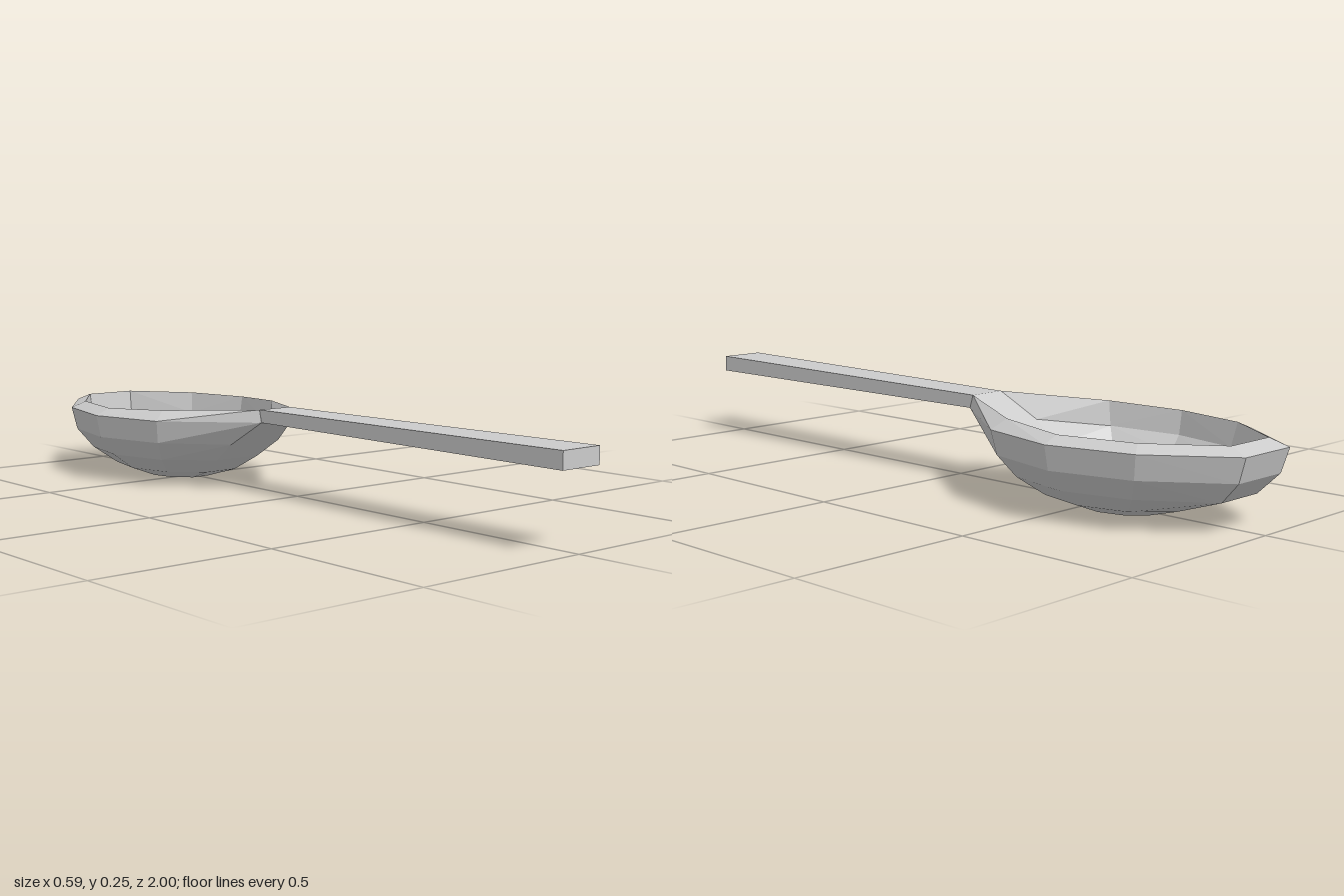
import * as THREE from 'three';

const grey = () => new THREE.MeshStandardMaterial({ color: 0xcccccc, flatShading: true });
const SIDES = 10, CENTRE_Z = -0.57;

// Ten-sided oval ring; its tip and neck ends can be pulled out of the oval
function ring({ y, rx, rz, tip, tipY = y, neck, neckX, neckY = y, shoulderY = y }) {
  return Array.from({ length: SIDES }, (_, k) => {
    const a = (k / SIDES) * Math.PI * 2;
    const p = new THREE.Vector3(rx * Math.cos(a), y, CENTRE_Z + rz * Math.sin(a));
    const s = Math.sin(a);
    if (s > 0.9) {
      p.y = neckY;
      p.z = neck ?? p.z;
      if (neckX) p.x = Math.sign(p.x) * neckX;
    } else if (s > 0.5) p.y = shoulderY;
    else if (s < -0.9) {
      p.y = tipY;
      p.z = tip ?? p.z;
    }
    return p;
  });
}

// Two triangles for a quad, split along the diagonal that bulges outwards
function quad(a, b, c, d) {
  const normal = c.clone().sub(b).cross(d.clone().sub(a));
  const bulge = b.clone().add(c).sub(a).sub(d).dot(normal);
  return bulge > 0 ? [a, c, b, b, c, d] : [a, c, d, a, d, b];
}

// Skin from the outer bottom, up over the rim and down to the inner floor,
// with the inside set in by an even wall thickness
function makeBowl() {
  const rings = [
    { y: 0, rx: 0.091, rz: 0.12 },
    { y: 0.03, rx: 0.171, rz: 0.226 },
    { y: 0.077, rx: 0.237, rz: 0.312, tip: -0.925 },
    { y: 0.133, rx: 0.281, rz: 0.37, tip: -0.98, neck: -0.19 },
    { y: 0.198, rx: 0.295, rz: 0.39, tip: -1, neck: -0.09, neckX: 0.056, neckY: 0.203 },
    { y: 0.217, rx: 0.25, rz: 0.352, tip: -0.95, neck: -0.1, neckX: 0.055, neckY: 0.239, shoulderY: 0.225 },
    { y: 0.152, rx: 0.24, rz: 0.33, tip: -0.94, tipY: 0.156, neck: -0.216, neckY: 0.171, shoulderY: 0.158 },
    { y: 0.109, rx: 0.205, rz: 0.275, tip: -0.9, tipY: 0.116, neck: -0.3, neckY: 0.113 },
    { y: 0.07, rx: 0.15, rz: 0.206, tipY: 0.073 },
    { y: 0.045, rx: 0.083, rz: 0.109 },
  ].map(ring);

  const points = [];
  for (let i = 0; i < rings.length - 1; i++) {
    for (let k = 0; k < SIDES; k++) {
      const n = (k + 1) % SIDES;
      points.push(...quad(rings[i][k], rings[i][n], rings[i + 1][k], rings[i + 1][n]));
    }
  }
  // Flat underside and inner floor
  const first = rings[0], last = rings[rings.length - 1];
  for (let k = 1; k < SIDES - 1; k++) {
    points.push(first[0], first[k], first[k + 1], last[0], last[k + 1], last[k]);
  }
  const geometry = new THREE.BufferGeometry().setFromPoints(points);
  geometry.computeVertexNormals();
  return geometry;
}

// Bar that widens and thickens slightly from the neck to the end
function makeHandle() {
  const geometry = new THREE.BoxGeometry(1, 1, 1);
  const pos = geometry.attributes.position;
  for (let i = 0; i < pos.count; i++) {
    const t = pos.getZ(i) + 0.5;
    const top = pos.getY(i) > 0;
    const x = pos.getX(i) * 2 * THREE.MathUtils.lerp(0.055, 0.065, t);
    const y = top ? THREE.MathUtils.lerp(0.239, 0.246, t) : THREE.MathUtils.lerp(0.203, 0.2, t);
    pos.setXYZ(i, x, y, THREE.MathUtils.lerp(top ? -0.1 : -0.09, 1, t));
  }
  geometry.computeVertexNormals();
  return geometry;
}

export function createModel() {
  const spoon = new THREE.Group();
  spoon.name = 'spoon';
  for (const [name, geometry] of [['bowl', makeBowl()], ['handle', makeHandle()]]) {
    const mesh = new THREE.Mesh(geometry, grey());
    mesh.name = name;
    spoon.add(mesh);
  }
  return spoon;
}
